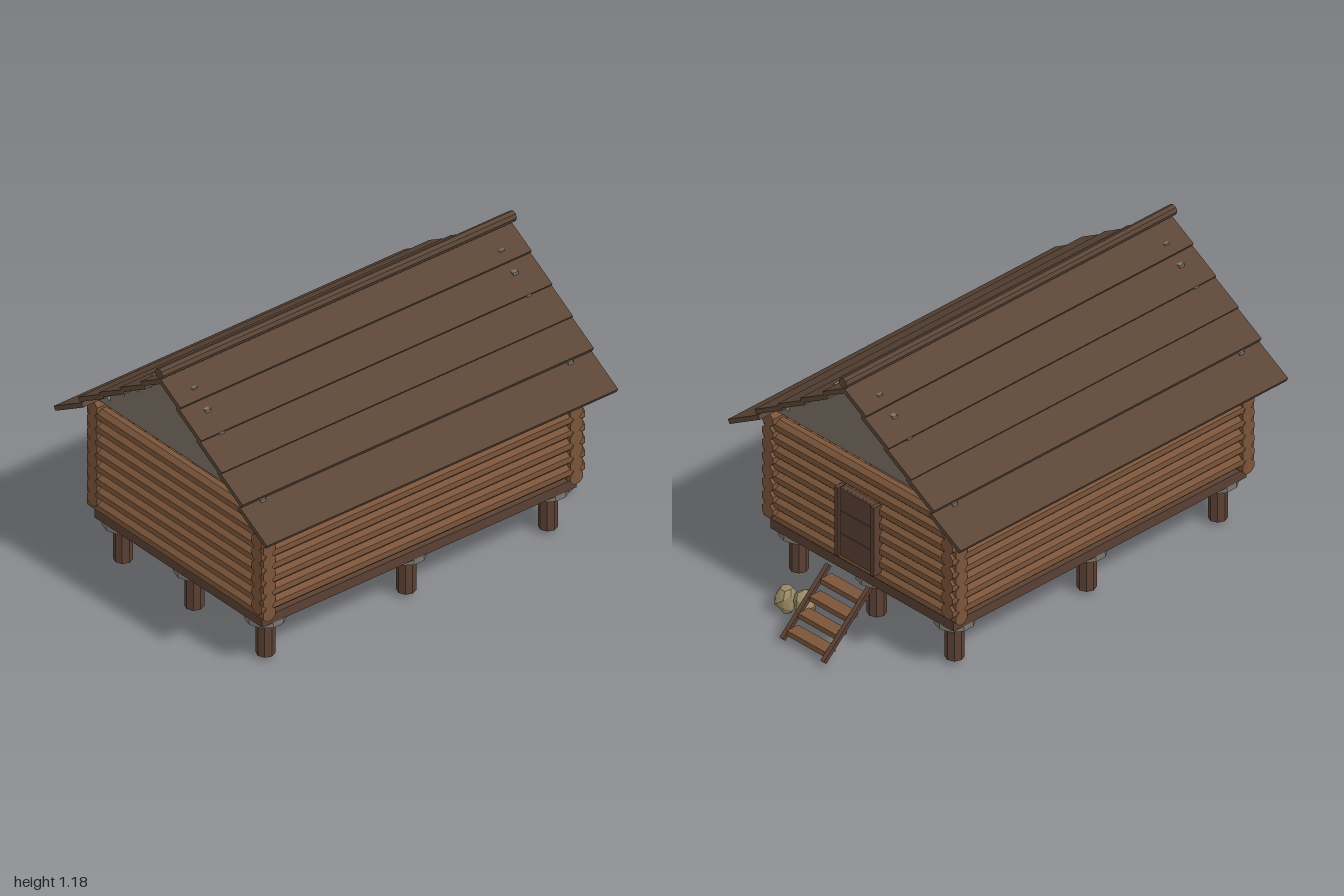
import * as THREE from 'three';

export function createModel() {
  const root = new THREE.Group();
  const mat = (name, color) => {
    const m = new THREE.MeshStandardMaterial({ color, flatShading: true });
    m.name = name;
    return m;
  };
  const log = mat('log brown', 0x7a5439);
  const roof = mat('roof brown', 0x5a4537);
  const post = mat('dark timber', 0x5a4033);
  const gable = mat('gable grey', 0x7b7064);
  const stone = mat('slab grey', 0x75726a);
  const rock = mat('rock tan', 0x9a8a66);

  const add = (name, geo, material, x, y, z, parent = root) => {
    const m = new THREE.Mesh(geo, material);
    m.name = name;
    m.position.set(x, y, z);
    parent.add(m);
    return m;
  };
  const box = (name, w, h, d, material, x, y, z, parent) =>
    add(name, new THREE.BoxGeometry(w, h, d), material, x, y, z, parent);
  const group = (name) => {
    const g = new THREE.Group();
    g.name = name;
    root.add(g);
    return g;
  };

  // Nine posts, each with a flared stone slab
  const foundation = group('foundation');
  const slabProfile = [[0, 0], [0.05, 0], [0.083, 0.02], [0.08, 0.045], [0, 0.045]]
    .map(([r, y]) => new THREE.Vector2(r, y));
  for (const x of [-0.433, 0, 0.433]) {
    for (const z of [0.82, 0.115, -0.595]) {
      add('post', new THREE.CylinderGeometry(0.039, 0.039, 0.15, 8), post, x, 0.095, z, foundation);
      add('slab', new THREE.LatheGeometry(slabProfile, 10), stone, x, 0.162, z, foundation);
    }
  }
  box('floor', 1.02, 0.043, 1.575, post, 0, 0.226, 0.113);

  // Interlocking octagonal logs, the side courses half a log higher
  const walls = group('logWalls');
  const logGeo = (length, alongX) => {
    const g = new THREE.CylinderGeometry(0.0335, 0.0335, length, 8);
    g.rotateY(Math.PI / 8);
    return alongX ? g.rotateZ(Math.PI / 2) : g.rotateX(Math.PI / 2);
  };
  const endLog = logGeo(1.072, true), sideLog = logGeo(1.62, false);
  for (let i = 0; i < 8; i++) {
    const y = 0.272 + i * 0.06;
    for (const z of [0.885, -0.655]) add('endLog', endLog, log, 0, y, z, walls);
    for (const x of [-0.5, 0.5]) add('sideLog', sideLog, log, x, y + 0.03, 0.11, walls);
  }

  // Stepped gables
  const tops = [0.753, 0.785, 0.847, 0.909, 0.97, 1.03, 1.09];
  const halfWidths = [0.5, 0.415, 0.331, 0.247, 0.166, 0.083];
  const outline = new THREE.Shape();
  outline.moveTo(-0.5, tops[0]);
  outline.lineTo(0.5, tops[0]);
  halfWidths.forEach((w, i) => {
    outline.lineTo(w, tops[i]);
    outline.lineTo(w, tops[i + 1]);
  });
  for (let i = 5; i >= 0; i--) {
    outline.lineTo(-halfWidths[i], tops[i + 1]);
    if (i) outline.lineTo(-halfWidths[i], tops[i]);
  }
  const gableGeo = new THREE.ExtrudeGeometry(outline, { depth: 0.024, bevelEnabled: false });
  for (const z of [0.885, -0.655]) add('gable', gableGeo, gable, 0, 0, z - 0.012);

  // Overlapping roof planks, placed by the outer lower edge of each
  const roofGroup = group('roof');
  const edges = [[0.648, 0.685], [0.5, 0.8], [0.373, 0.885], [0.248, 0.97], [0.122, 1.06]];
  const a = 0.53, t = 0.02;
  edges.forEach(([x, y], i) => {
    const next = i < 4 ? edges[i + 1][0] - 0.02 : 0;
    const len = (x - next) / Math.cos(a);
    const cx = x - Math.cos(a) * len / 2 - Math.sin(a) * t / 2;
    const cy = y + Math.sin(a) * len / 2 - Math.cos(a) * t / 2;
    for (const s of [-1, 1]) {
      box('roofPlank', len, t, 1.76, roof, s * cx, cy, 0.11, roofGroup).rotation.z = -s * a;
    }
  });
  const ridge = add('ridgePole', new THREE.CylinderGeometry(0.023, 0.023, 1.775, 8),
    roof, 0, 1.158, 0.11, roofGroup);
  ridge.rotation.x = Math.PI / 2;

  // Back door of three boards between two jambs
  const door = group('door');
  for (let i = 0; i < 3; i++) {
    box('doorBoard', 0.18, 0.101, 0.03, post, 0, 0.342 + i * 0.104, -0.69, door);
  }
  box('doorBacking', 0.18, 0.31, 0.02, post, 0, 0.446, -0.687, door);
  for (const s of [-1, 1]) box('doorJamb', 0.02, 0.315, 0.04, post, s * 0.1, 0.447, -0.697, door);

  // Ladder
  const ladder = group('ladder');
  for (const s of [-1, 1]) {
    box('ladderRail', 0.02, 0.018, 0.34, post, s * 0.114, 0.138, -0.868, ladder)
      .rotation.x = -Math.atan2(0.24, 0.258);
  }
  for (let i = 0; i < 4; i++) {
    box('ladderTread', 0.21, 0.023, 0.06, log, 0, 0.204 - i * 0.0525, -0.767 - i * 0.06, ladder);
  }

  // Two faceted rocks, roughened by a rule on position
  const addRock = (x, y, z, rx, ry, rz, seed) => {
    const g = new THREE.IcosahedronGeometry(1, 1);
    const p = g.attributes.position, v = new THREE.Vector3();
    for (let i = 0; i < p.count; i++) {
      v.fromBufferAttribute(p, i);
      v.multiplyScalar(1 + 0.08 * Math.sin(5 * v.x + 7 * v.y + 3 * v.z + seed));
      p.setXYZ(i, v.x * rx, v.y * ry, v.z * rz);
    }
    g.computeVertexNormals();
    add('rock', g, rock, x, y, z);
  };
  addRock(0.192, 0.065, -0.795, 0.046, 0.055, 0.05, 1);
  addRock(0.264, 0.063, -0.825, 0.046, 0.06, 0.047, 4);

  return root;
}
